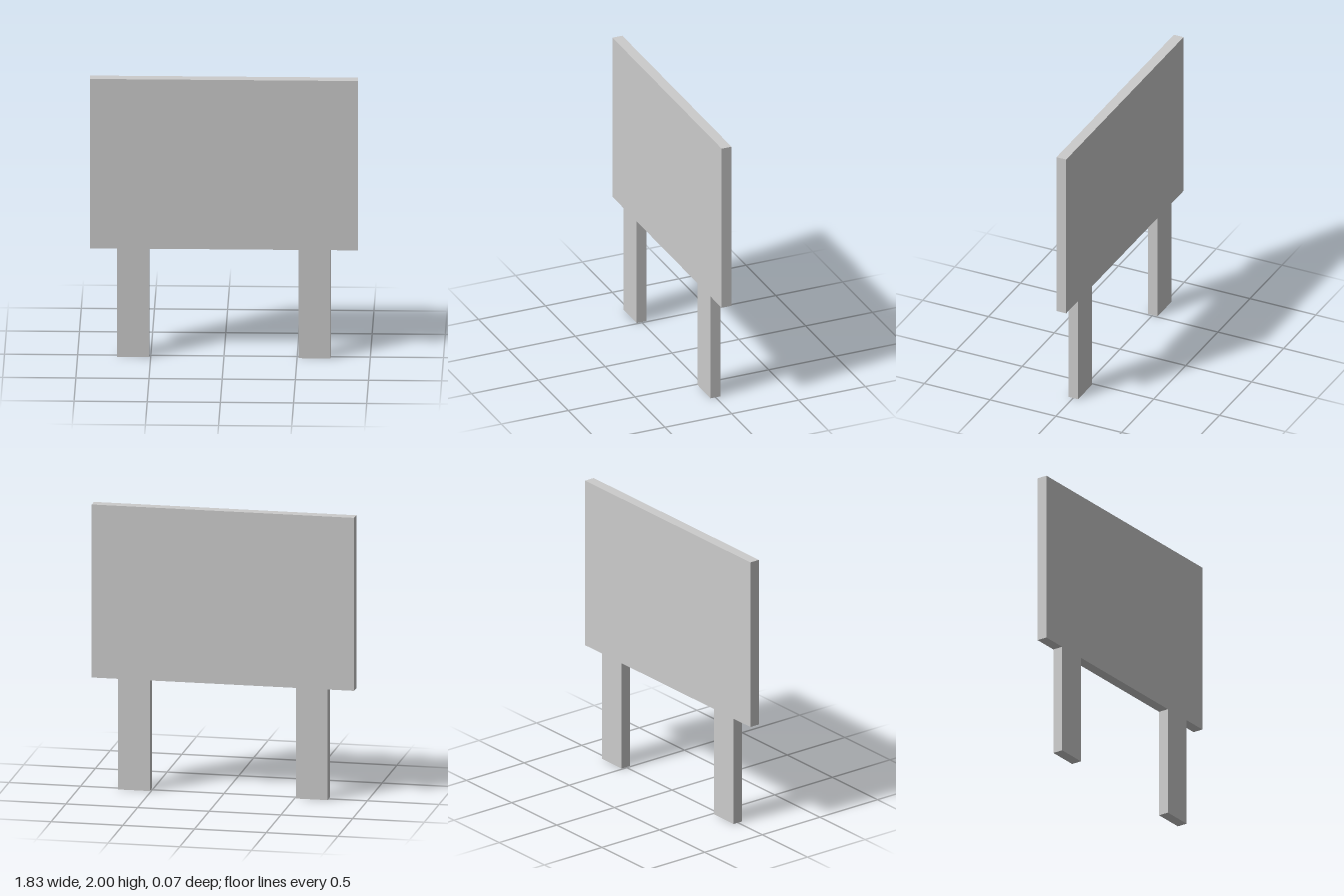
import * as THREE from 'three';

const HALF_WIDTH = 0.915, HEIGHT = 2, PANEL_BOTTOM = 0.78;
const LEG_INNER = 0.51, LEG_OUTER = 0.73, THICKNESS = 0.074;

export function createModel() {
  const group = new THREE.Group();
  group.name = 'headboard';

  // Right half of the outline, from the inner top of a leg round to the panel top
  const half = [
    [LEG_INNER, PANEL_BOTTOM], [LEG_INNER, 0], [LEG_OUTER, 0],
    [LEG_OUTER, PANEL_BOTTOM], [HALF_WIDTH, PANEL_BOTTOM], [HALF_WIDTH, HEIGHT],
  ];
  const mirrored = half.map(([x, y]) => [-x, y]).reverse();
  const outline = new THREE.Shape([...half, ...mirrored].map(([x, y]) => new THREE.Vector2(x, y)));

  // Panel and its two legs are cut as one flat board
  const geometry = new THREE.ExtrudeGeometry(outline, { depth: THICKNESS, bevelEnabled: false });
  geometry.translate(0, 0, -THICKNESS / 2);

  const board = new THREE.Mesh(geometry, new THREE.MeshStandardMaterial({ color: 0xcccccc }));
  board.name = 'panelWithLegs';
  group.add(board);
  return group;
}
